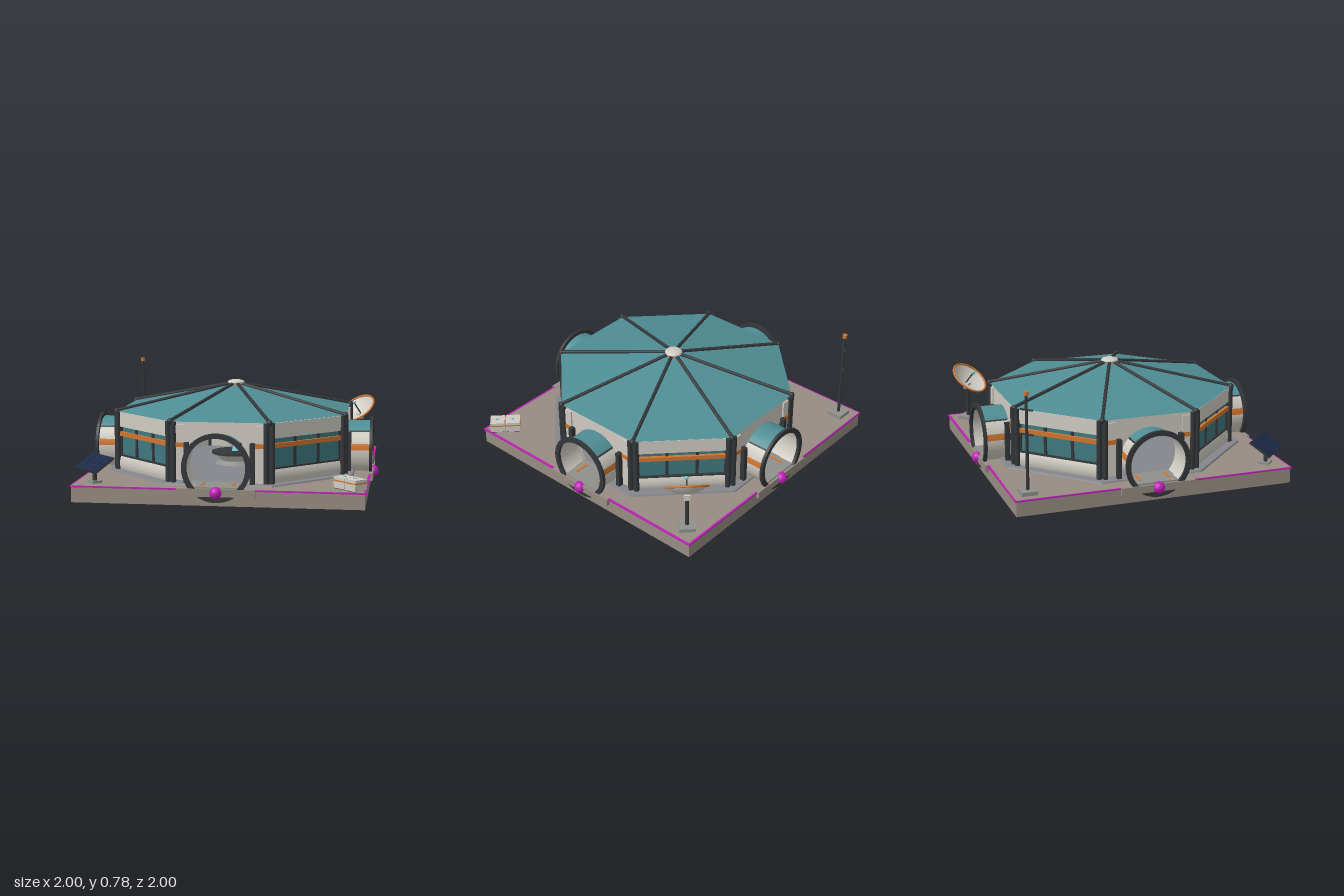
import * as THREE from 'three';

const mat = (color, opts = {}) => new THREE.MeshStandardMaterial({ color, ...opts });
const DS = { side: THREE.DoubleSide };
const M = {
  stone: mat(0x978c82), skirt: mat(0x85878c), white: mat(0xcfcbc2, DS), dark: mat(0x34373a, DS),
  teal: mat(0x4f8d94, { ...DS, flatShading: true }), tealSmooth: mat(0x4f8d94, DS), glass: mat(0x3f7880, DS),
  orange: mat(0xd0752f, DS), magenta: mat(0xc020b8), navy: mat(0x1c2a48), grey: mat(0x8f8f8c), aqua: mat(0x6fc4cc),
};

function add(parent, name, geo, material, x = 0, y = 0, z = 0) {
  const m = new THREE.Mesh(geo, material);
  m.name = name;
  m.position.set(x, y, z);
  parent.add(m);
  return m;
}
function group(parent, name, x = 0, y = 0, z = 0, ry = 0) {
  const g = new THREE.Group();
  g.name = name;
  g.position.set(x, y, z);
  g.rotation.y = ry;
  parent.add(g);
  return g;
}
const box = (w, h, d) => new THREE.BoxGeometry(w, h, d);
const cyl = (r0, r1, h, n = 16) => new THREE.CylinderGeometry(r0, r1, h, n);
const ball = (r) => new THREE.SphereGeometry(r, 24, 16);

// Straight bar between two points
function bar(parent, name, a, b, r, material) {
  const d = b.clone().sub(a);
  const m = add(parent, name, cyl(r, r, d.length(), 10), material);
  m.position.copy(a).addScaledVector(d, 0.5);
  m.quaternion.setFromUnitVectors(new THREE.Vector3(0, 1, 0), d.normalize());
}

const R = 0.845, AP = 0.78, FLOOR = 0.115, EAVE = 0.515, CY = 0.245;

// Strip of the tunnel tube between two angles measured from its top
function tubeStrip(parent, name, r, a0, a1, z0, z1, material) {
  const g = new THREE.CylinderGeometry(r, r, z1 - z0, 24, 1, true, Math.PI + a0, a1 - a0);
  g.rotateX(Math.PI / 2);
  add(parent, name, g, material, 0, CY, (z0 + z1) / 2);
}

function ring(outer, inner, depth) {
  const s = new THREE.Shape().absarc(0, 0, outer, 0, Math.PI * 2, false);
  s.holes.push(new THREE.Path().absarc(0, 0, inner, 0, Math.PI * 2, true));
  return new THREE.ExtrudeGeometry(s, { depth, bevelEnabled: false, curveSegments: 32 });
}

// Wall with a round doorway and a short entrance tunnel
function entrance(root, angle) {
  const g = group(root, 'entrance', 0, 0, 0, angle);
  const s = new THREE.Shape();
  s.moveTo(-0.31, FLOOR);
  s.absarc(0, CY, 0.195, Math.PI + 0.73, -0.73, true);
  s.lineTo(0.31, FLOOR);
  s.lineTo(0.31, EAVE);
  s.lineTo(-0.31, EAVE);
  add(g, 'doorWall', new THREE.ExtrudeGeometry(s, { depth: 0.025, bevelEnabled: false, curveSegments: 32 }),
    M.white, 0, 0, AP - 0.03);
  tubeStrip(g, 'tunnelRoof', 0.195, -0.79, 0.79, AP - 0.03, 0.95, M.tealSmooth);
  for (const k of [-1, 1]) {
    const strip = (n, r, a, b, z0, z1, m) => tubeStrip(g, n, r, k > 0 ? a : -b, k > 0 ? b : -a, z0, z1, m);
    strip('tunnelSide', 0.195, 0.79, 2.35, AP - 0.03, 0.95, M.white);
    strip('tunnelStripe', 0.198, 1.28, 1.5, AP, 0.95, M.orange);
    strip('tunnelSeam', 0.198, 0.77, 0.83, AP, 0.95, M.dark);
    add(g, 'sidePost', box(0.03, 0.27, 0.035), M.dark, k * 0.215, 0.25, 0.8);
    add(g, 'wallPanel', box(0.065, 0.36, 0.012), M.white, k * 0.265, 0.315, AP);
    add(g, 'wallStripe', box(0.075, 0.03, 0.02), M.orange, k * 0.265, 0.365, AP);
    add(g, 'tunnelFloorMark', box(0.015, 0.004, 0.1), M.orange, k * 0.1, 0.124, 0.84);
  }
  add(g, 'tunnelFloor', box(0.28, 0.02, 0.2), M.grey, 0, 0.112, 0.85);
  add(g, 'tunnelRing', ring(0.222, 0.19, 0.02), M.dark, 0, CY, 0.94);
  add(g, 'doorstep', box(0.51, 0.05, 0.035), M.stone, 0, 0.087, 0.95);
  add(g, 'marker', ball(0.04), M.magenta, 0, 0.087, 0.96);
}

// Windowed wall between two entrances
function windowWall(root, angle) {
  const g = group(root, 'windowWall', 0, 0, 0, angle);
  add(g, 'upperPanel', box(0.62, 0.1, 0.03), M.white, 0, 0.463, AP - 0.015);
  add(g, 'glass', box(0.6, 0.21, 0.01), M.glass, 0, 0.31, AP - 0.025);
  const p = new THREE.Shape();
  p.moveTo(-0.03, FLOOR);
  p.lineTo(0, FLOOR);
  p.quadraticCurveTo(0.02, 0.165, -0.005, 0.215);
  p.lineTo(-0.03, 0.215);
  const lower = new THREE.ExtrudeGeometry(p, { depth: 0.6, bevelEnabled: false });
  lower.rotateY(-Math.PI / 2);
  add(g, 'lowerPanel', lower, M.white, 0.3, 0, AP - 0.005);
  add(g, 'stripe', box(0.6, 0.03, 0.02), M.orange, 0, 0.365, AP - 0.008);
  for (const x of [-0.29, -0.1, 0.1, 0.29])
    add(g, 'mullion', box(0.02, 0.2, 0.016), M.dark, x, 0.31, AP - 0.018);
  add(g, 'sill', box(0.6, 0.01, 0.02), M.dark, 0, 0.216, AP - 0.012);
}

// Corner post and roof rib
function corner(root, angle) {
  const g = group(root, 'corner', 0, 0, 0, angle);
  for (const k of [-1, 1]) add(g, 'cornerPost', cyl(0.018, 0.018, 0.4), M.dark, k * 0.02, 0.315, R - 0.005);
  add(g, 'cornerCore', box(0.045, 0.4, 0.04), M.dark, 0, 0.315, R - 0.02);
  bar(g, 'roofRib', new THREE.Vector3(0, EAVE + 0.006, R), new THREE.Vector3(0, 0.688, 0.03), 0.012, M.dark);
  add(g, 'ribKnob', ball(0.02), M.dark, 0, EAVE + 0.002, R);
}

function mast(root) {
  const g = group(root, 'antennaMast', -0.84, 0.11, -0.84);
  add(g, 'mastBase', box(0.11, 0.025, 0.11), M.grey, 0, 0.0125, 0);
  add(g, 'mastPole', cyl(0.009, 0.011, 0.65), M.dark, 0, 0.325, 0);
  add(g, 'mastTip', cyl(0.016, 0.016, 0.025), M.orange, 0, 0.655, 0);
  for (const y of [0.39, 0.55])
    add(g, 'crossbar', box(0.09, 0.009, 0.012), M.dark, 0, y, 0).rotation.y = Math.PI / 4;
}

function dish(root) {
  const g = group(root, 'dishAntenna', 0.82, 0.11, -0.82, -Math.PI / 4);
  add(g, 'dishBase', box(0.11, 0.025, 0.11), M.grey, 0, 0.0125, -0.01);
  add(g, 'dishPole', cyl(0.013, 0.013, 0.25), M.dark, 0, 0.13, -0.01);
  add(g, 'dishMount', box(0.04, 0.04, 0.04), M.white, 0, 0.25, -0.01);
  const bowl = group(g, 'dishBowl', 0, 0.312, 0.012);
  bowl.rotation.x = 0.68;
  const pts = [];
  for (let i = 0; i <= 10; i++) pts.push(new THREE.Vector2(0.138 * i / 10, -0.05 + 0.05 * (i / 10) ** 2));
  add(bowl, 'reflector', new THREE.LatheGeometry(pts, 40), M.white);
  add(bowl, 'rim', new THREE.TorusGeometry(0.136, 0.007, 8, 40), M.orange).rotation.x = Math.PI / 2;
  add(bowl, 'feedArm', cyl(0.005, 0.005, 0.1, 8), M.dark, 0, 0, 0);
  add(bowl, 'feedTip', ball(0.013), M.aqua, 0, 0.055, 0);
}

function solarPanel(root) {
  const g = group(root, 'solarPanel', -0.817, 0.11, 0.822, -Math.PI / 4);
  add(g, 'panelPost', cyl(0.012, 0.014, 0.13), M.dark, 0, 0.065, 0);
  add(g, 'panelFoot', box(0.07, 0.015, 0.07), M.grey, 0, 0.0075, 0);
  const p = group(g, 'panelBoard', 0, 0.128, 0);
  p.rotation.x = 0.54;
  add(p, 'panelFrame', box(0.262, 0.01, 0.165), M.dark);
  for (let i = 0; i < 4; i++) for (let j = 0; j < 2; j++)
    add(p, 'solarCell', box(0.061, 0.006, 0.078), M.navy, (i - 1.5) * 0.064, 0.005, (j - 0.5) * 0.081);
}

function crates(root) {
  const g = group(root, 'supplyCrates', 0.845, 0.11, 0.84, -Math.PI / 4);
  for (const k of [-1, 1]) {
    add(g, 'crate', box(0.1, 0.072, 0.1), M.white, k * 0.053, 0.04, 0);
    add(g, 'crateBand', box(0.103, 0.008, 0.103), M.orange, k * 0.053, 0.053, 0);
    add(g, 'crateLatch', box(0.02, 0.006, 0.01), M.aqua, k * 0.053, 0.078, 0);
    for (const z of [-1, 1]) add(g, 'crateFoot', box(0.09, 0.012, 0.015), M.dark, k * 0.053, 0.004, z * 0.04);
  }
}

export function createModel() {
  const root = new THREE.Group();
  root.name = 'octagonalOutpost';

  // Platform with coloured edge
  add(root, 'platform', box(1.89, 0.11, 1.89), M.stone, 0, 0.055, 0);
  for (let i = 0; i < 4; i++) {
    const g = group(root, 'edgeTrim', 0, 0, 0, i * Math.PI / 2);
    add(g, 'edgeStrip', box(1.905, 0.01, 0.014), M.magenta, 0, 0.105, 0.946);
  }
  add(root, 'skirt', cyl(0.905, 0.915, 0.02, 8), mat(0x85878c, { flatShading: true }), 0, 0.11, 0)
    .rotation.y = Math.PI / 8;

  // Walls and corners
  for (let i = 0; i < 4; i++) {
    entrance(root, i * Math.PI / 2);
    windowWall(root, Math.PI / 4 + i * Math.PI / 2);
  }
  for (let i = 0; i < 8; i++) corner(root, Math.PI / 8 + i * Math.PI / 4);

  // Roof and cap
  add(root, 'roof', new THREE.CylinderGeometry(0.01, R, 0.172, 8, 1, true), M.teal, 0, EAVE + 0.086, 0)
    .rotation.y = Math.PI / 8;
  add(root, 'capRing', cyl(0.05, 0.055, 0.02, 24), M.orange, 0, 0.683, 0);
  add(root, 'roofCap', ball(0.06), M.white, 0, 0.693, 0).scale.y = 0.35;

  // Central table
  const t = group(root, 'table', 0, 0.12, 0);
  add(t, 'tableBase', cyl(0.12, 0.15, 0.025, 24), M.grey, 0, 0.012, 0);
  add(t, 'tableBody', cyl(0.15, 0.1, 0.05, 24), M.white, 0, 0.05, 0);
  add(t, 'tableTop', cyl(0.17, 0.17, 0.016, 32), M.dark, 0, 0.08, 0);
  add(t, 'beacon', cyl(0.012, 0.032, 0.065, 20), M.aqua, 0, 0.12, 0);

  mast(root);
  dish(root);
  solarPanel(root);
  crates(root);
  return root;
}
